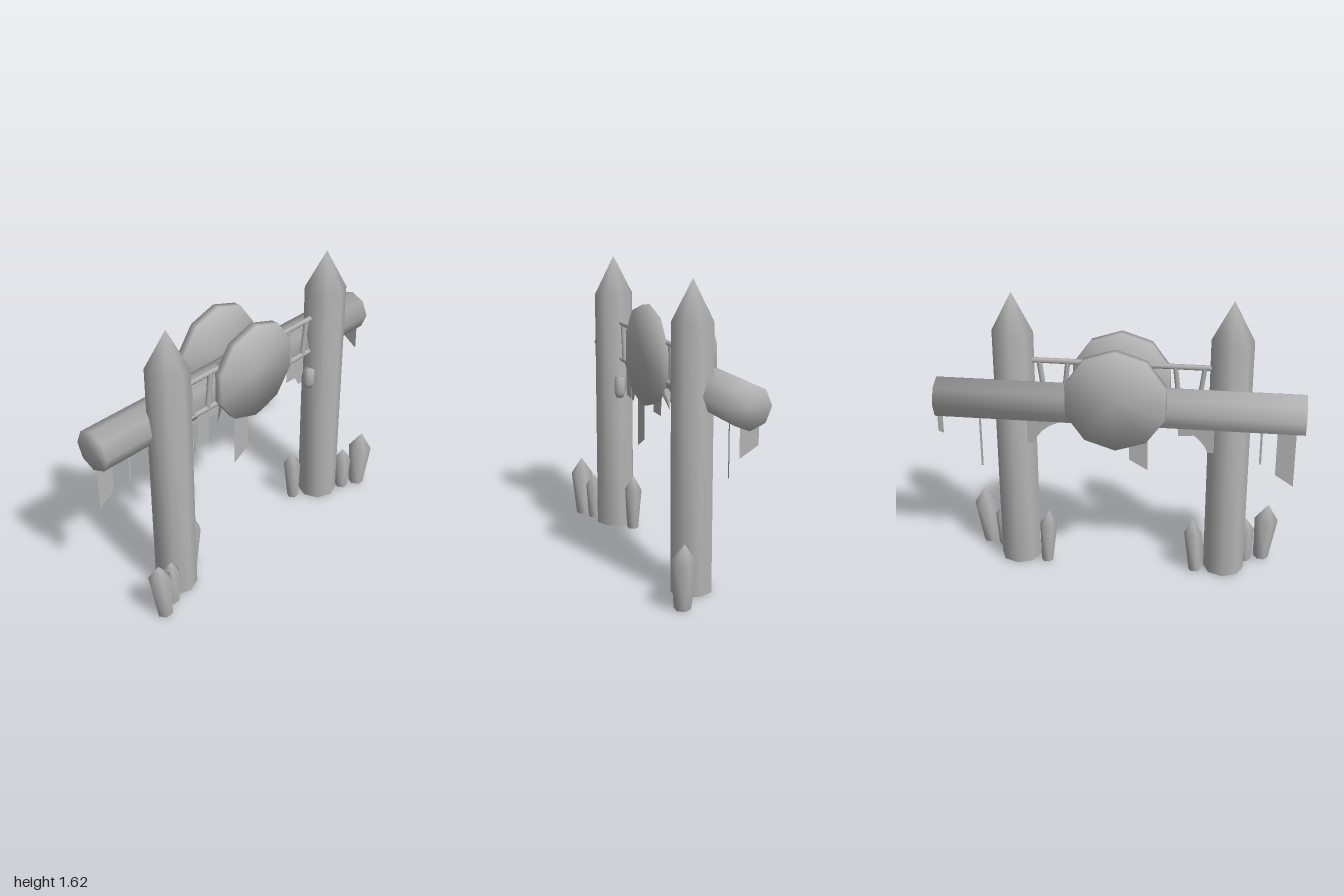
import * as THREE from 'three';
import { mergeVertices } from 'three/addons/utils/BufferGeometryUtils.js';

const stone = new THREE.MeshStandardMaterial({ color: 0xb4b4b4, side: THREE.DoubleSide });
stone.name = 'plain grey';
const V = (x, y, z) => new THREE.Vector3(x, y, z);

// Join all corners so that the shading runs smoothly over every edge
function weld(geometry) {
  geometry.deleteAttribute('normal');
  geometry.deleteAttribute('uv');
  const joined = mergeVertices(geometry, 1e-4);
  joined.computeVertexNormals();
  return joined;
}

// Capped cylinder whose rim normals lean halfway between side and cap
function softCylinder(radius, length, sides) {
  const g = weld(new THREE.CylinderGeometry(radius, radius, length, sides));
  const p = g.attributes.position;
  for (let i = 0; i < p.count; i++) {
    const n = V(p.getX(i) / radius, Math.sign(p.getY(i)), p.getZ(i) / radius).normalize();
    g.attributes.normal.setXYZ(i, n.x, n.y, n.z);
  }
  return g;
}

export function createModel() {
  const model = new THREE.Group();
  model.name = 'gateway';

  function add(name, geometry, x = 0, y = 0, z = 0) {
    const mesh = new THREE.Mesh(geometry, stone);
    mesh.name = name;
    mesh.position.set(x, y, z);
    model.add(mesh);
    return mesh;
  }
  // Round bar between two points
  function bar(name, a, b, radius, endRadius = radius, sides = 6) {
    const mesh = add(name, new THREE.CylinderGeometry(endRadius, radius, a.distanceTo(b), sides));
    mesh.position.copy(a).add(b).multiplyScalar(0.5);
    mesh.quaternion.setFromUnitVectors(V(0, 1, 0), b.clone().sub(a).normalize());
  }
  // Pointed log standing on end, open underneath
  function stake(name, base, top, shoulder, tip, sides, x, z) {
    const profile = [[base, 0], [top, shoulder], [0, tip]].map(p => new THREE.Vector2(...p));
    const g = new THREE.LatheGeometry(profile, sides, sides === 6 ? Math.PI / 6 : 0);
    return add(name, weld(g), x, 0, z);
  }
  // Flat hanging cloth with a slanted lower edge
  function banner(name, x0, x1, top, bottom0, bottom1, z) {
    const shape = new THREE.Shape([[x0, bottom0], [x1, bottom1], [x1, top], [x0, top]]
      .map(p => new THREE.Vector2(...p)));
    return add(name, new THREE.ShapeGeometry(shape), 0, 0, z);
  }

  // Crossbeam
  const beam = softCylinder(0.115, 2, 8);
  beam.rotateZ(Math.PI / 2);
  add('crossbeam', beam, 0, 1.047, -0.082);

  // Round shields, front and back
  for (const [name, z] of [['frontShield', 0.064], ['backShield', -0.218]]) {
    const disc = softCylinder(0.28, 0.043, 10);
    disc.rotateX(Math.PI / 2);
    add(name, disc, 0, 1.134, z);
  }

  // Rails between the pillars
  for (const y of [1.24, 1.03]) bar('rail', V(-0.55, y, 0.035), V(0.55, y, 0.035), 0.015);

  for (const s of [-1, 1]) {
    // Main pillar
    stake('pillar', 0.115, 0.115, 1.4, 1.62, 8, s * 0.595, 0.043);

    // Ground stakes, leaning slightly
    stake('outerStake', 0.044, 0.067, 0.253, 0.348, 6, s * 0.81, 0.18).rotation.z = -s * 0.085;
    stake('middleStake', 0.036, 0.05, 0.2, 0.272, 6, s * 0.715, 0.14);
    stake('innerStake', 0.034, 0.05, 0.243, 0.328, 6, s * 0.432, -0.01).rotation.z = s * 0.06;

    // Slanted rungs between the rails
    bar('rung', V(s * 0.425, 1.03, 0.035), V(s * 0.452, 1.24, 0.035), 0.015);
    bar('rung', V(s * 0.318, 1.03, 0.035), V(s * 0.293, 1.24, 0.035), 0.015);

    // Strut from the crossbeam up to the rail
    bar('strut', V(s * 0.12, 1.13, -0.1), V(s * 0.115, 1.25, 0.04), 0.02);

    // Flat curved bracket under the beam
    const shape = new THREE.Shape();
    shape.moveTo(s * 0.53, 0.98);
    shape.lineTo(s * 0.2, 0.97);
    shape.lineTo(s * 0.23, 0.93);
    shape.quadraticCurveTo(s * 0.43, 0.91, s * 0.485, 0.77);
    shape.lineTo(s * 0.53, 0.77);
    add('bracket', new THREE.ShapeGeometry(shape, 6), 0, 0, -0.04);

    // Small cup on the inner face of the pillar
    const cup = [[0, 0], [0.02, 0], [0.034, 0.03], [0.034, 0.12], [0, 0.12]]
      .map(p => new THREE.Vector2(...p));
    add('cup', new THREE.LatheGeometry(cup, 6), s * 0.475, 0.8, 0.05);

    // Claws below the shield
    bar('claw', V(s * 0.17, 0.97, 0.02), V(s * 0.24, 0.875, 0.02), 0.028, 0, 5);
    bar('claw', V(s * 0.17, 0.97, 0.0), V(s * 0.2, 0.89, -0.01), 0.025, 0, 5);
  }
  bar('strutTie', V(-0.118, 1.18, -0.05), V(0.118, 1.18, -0.05), 0.014);

  // Cloths hanging from the beam
  banner('beamBanner', -0.955, -0.855, 0.98, 0.635, 0.7, -0.12);
  banner('beamRibbon', -0.778, -0.766, 0.98, 0.74, 0.74, -0.082);
  banner('beamRibbon', 0.764, 0.776, 0.98, 0.636, 0.636, -0.082);
  const side = banner('sideBanner', -0.05, 0.05, 0.98, 0.8, 0.86, 0);
  side.rotation.y = Math.PI / 2;
  side.position.set(0.995, 0, -0.082);

  // Cloths hanging from the lower rail
  banner('railBanner', -0.395, -0.315, 1.03, 0.83, 0.825, 0.036);
  banner('railBanner', -0.315, -0.24, 1.03, 0.965, 0.965, 0.036);
  banner('railBanner', -0.145, -0.04, 1.03, 0.59, 0.65, 0.06);
  banner('railBanner', 0.04, 0.155, 1.03, 0.825, 0.825, 0.036);
  banner('railBanner', 0.295, 0.435, 1.03, 0.9, 0.9, 0.036);

  return model;
}
